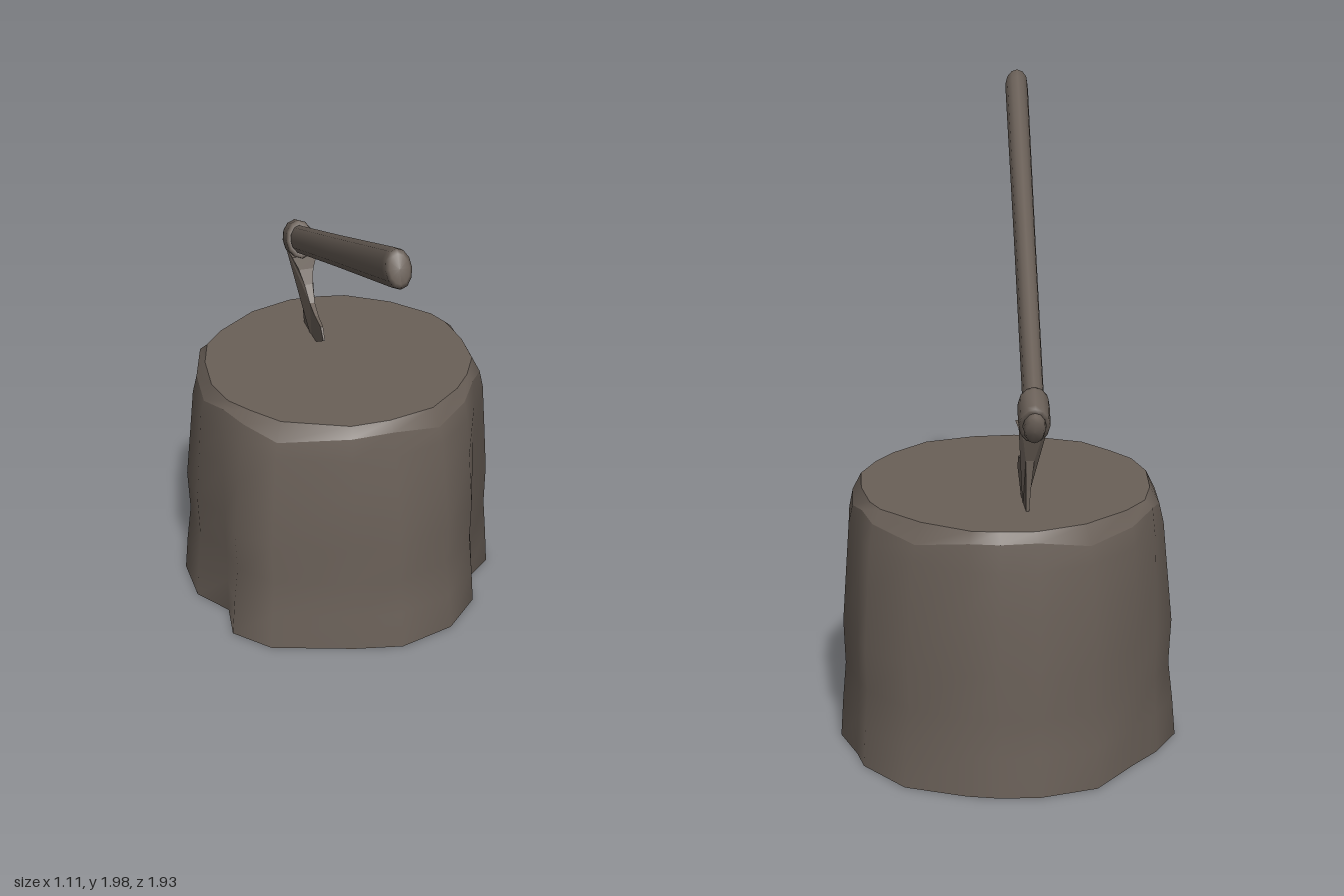
import * as THREE from 'three';

const wood = new THREE.MeshStandardMaterial({ color: 0x6a6058, side: THREE.DoubleSide });
wood.name = 'weathered brown';

// Root flare outline at ground level, as x, z pairs
const BASE = [
  [0.08, -0.96], [0.18, -0.935], [0.37, -0.85], [0.49, -0.68], [0.505, -0.59], [0.55, -0.435], [0.53, -0.27],
  [0.42, -0.17], [0.40, -0.04], [0.27, 0.10], [0.07, 0.165], [-0.1, 0.13], [-0.38, 0.04], [-0.49, -0.085],
  [-0.47, -0.23], [-0.555, -0.36], [-0.555, -0.55], [-0.47, -0.68], [-0.38, -0.77], [-0.24, -0.925], [-0.05, -0.97],
];
const CZ = -0.42;
const TOP = 0.88;

// One ring of the trunk: a circle of radius r blended towards the root outline by t
function ring(y, t, r, chip = 0) {
  return BASE.map(([x, z], i) => {
    const a = Math.atan2(z - CZ, x);
    const wobble = 1 + 0.012 * Math.sin(i * 2.3);
    const px = Math.cos(a) * r * wobble, pz = CZ + Math.sin(a) * r * wobble;
    return [px + (x - px) * t, y + chip * Math.sin(i * 1.9 + 0.6), pz + (z - pz) * t];
  });
}

// Skin a stack of closed rings, bottom to top
function skin(rings) {
  const n = BASE.length, index = [];
  for (let j = 0; j < rings.length - 1; j++) {
    for (let i = 0; i < n; i++) {
      const a = j * n + i, b = j * n + (i + 1) % n;
      index.push(a, a + n, b, b, a + n, b + n);
    }
  }
  const g = new THREE.BufferGeometry();
  g.setAttribute('position', new THREE.Float32BufferAttribute(rings.flat(2), 3));
  g.setIndex(index);
  g.computeVertexNormals();
  return g;
}

function add(parent, geometry, name) {
  const mesh = new THREE.Mesh(geometry, wood);
  mesh.name = name;
  parent.add(mesh);
  return mesh;
}

function makeStump() {
  const stump = new THREE.Group();
  stump.name = 'stump';
  const shoulder = ring(0.835, 0.12, 0.498, 0.022);
  const rim = ring(TOP, 0, 0.475);

  // Bark wall, open underneath
  add(stump, skin([
    ring(0.01, 1, 0.5), ring(0.14, 0.85, 0.5), ring(0.27, 0.62, 0.505), ring(0.42, 0.7, 0.51),
    ring(0.62, 0.4, 0.51), ring(0.76, 0.22, 0.508), shoulder,
  ]), 'barkWall');

  // Chipped edge between bark and cut face
  add(stump, skin([shoulder, rim]), 'chippedRim');

  // Flat cut face
  const cut = new THREE.ShapeGeometry(new THREE.Shape(rim.map(([x, , z]) => new THREE.Vector2(x, -z))));
  cut.rotateX(-Math.PI / 2).translate(0, TOP, 0);
  add(stump, cut, 'cutFace');
  return stump;
}

// Oval solid turned around the y axis from [radius, y] points
function ovalLathe(points, sx, sz) {
  const g = new THREE.LatheGeometry(points.map(([r, y]) => new THREE.Vector2(r, y)), 12);
  g.scale(sx, 1, sz);
  g.computeVertexNormals();
  return g;
}

function makeAxe() {
  const axe = new THREE.Group();
  axe.name = 'axe';

  // Handle frame: y runs from the head to the grip end
  const head = new THREE.Vector3(-0.046, 1.178, -0.81);
  const grip = new THREE.Vector3(-0.196, 1.942, 0.945);
  const length = head.distanceTo(grip);
  const yAxis = grip.clone().sub(head).normalize();
  const zAxis = new THREE.Vector3(1, 0, 0).cross(yAxis).normalize();
  const xAxis = yAxis.clone().cross(zAxis);
  const shaft = new THREE.Group();
  shaft.name = 'shaft';
  shaft.quaternion.setFromRotationMatrix(new THREE.Matrix4().makeBasis(xAxis, yAxis, zAxis));
  shaft.position.copy(head);
  axe.add(shaft);

  add(shaft, ovalLathe([
    [0, -0.012], [0.043, -0.01], [0.052, 0.005], [0.052, 0.2], [0.055, length * 0.5],
    [0.062, length - 0.06], [0.06, length - 0.015], [0.045, length], [0, length + 0.004],
  ], 0.66, 1), 'handle');

  // Eye of the axe head around the handle
  add(shaft, ovalLathe([
    [0.05, 0.022], [0.068, 0.022], [0.07, 0.04], [0.07, 0.115], [0.066, 0.13], [0.05, 0.13],
  ], 0.72, 1), 'headCollar');

  // Blade outline as z, y pairs, thinned towards the cutting edge
  const outline = [
    [-0.675, 1.17], [-0.66, 1.125], [-0.635, 1.075], [-0.595, 1.02], [-0.54, 0.995], [-0.475, 0.985], [-0.45, 0.94],
    [-0.55, 0.885], [-0.62, 0.85], [-0.715, 0.83], [-0.715, 0.95], [-0.722, 1.05], [-0.755, 1.13], [-0.765, 1.17],
  ];
  const blade = new THREE.ExtrudeGeometry(
    new THREE.Shape(outline.map(([z, y]) => new THREE.Vector2(z, y))),
    { depth: 1, bevelEnabled: false });
  blade.translate(0, 0, -0.5).rotateY(-Math.PI / 2);
  const p = blade.attributes.position;
  for (let i = 0; i < p.count; i++) {
    const y = p.getY(i);
    const reach = Math.max(0, p.getZ(i) + 0.66);
    const t = THREE.MathUtils.clamp((y - 0.86) / 0.31 - reach * 1.6, 0, 1);
    const thickness = 0.006 + 0.03 * t + 0.055 * t ** 6;
    p.setX(i, p.getX(i) * thickness - 0.037 - 0.035 * (y - 0.88));
  }
  blade.computeVertexNormals();
  add(axe, blade, 'blade');
  return axe;
}

export function createModel() {
  const model = new THREE.Group();
  model.name = 'axeInStump';
  model.add(makeStump(), makeAxe());
  return model;
}
